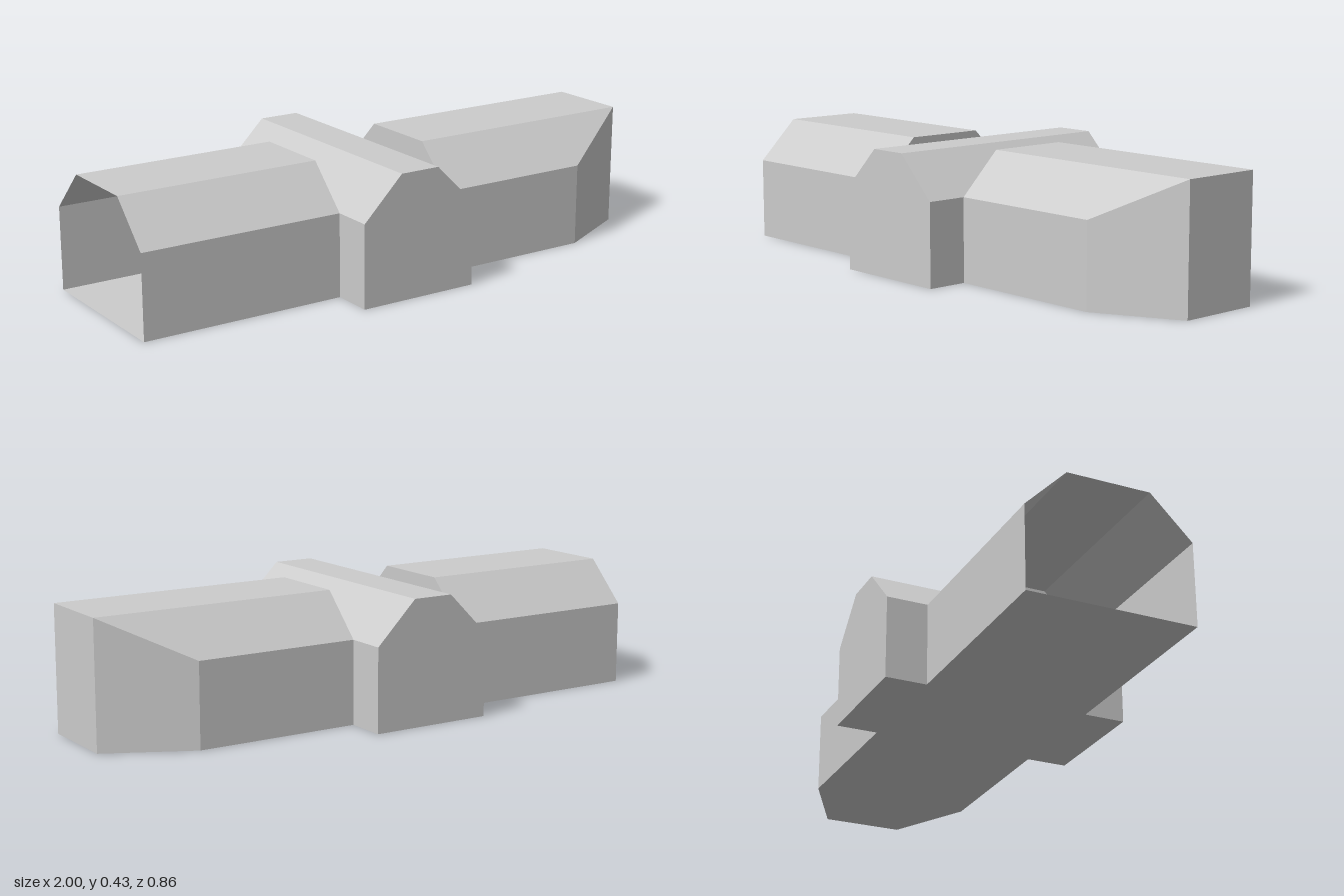
import * as THREE from 'three';

const U = 1 / 7; // design module: every corner sits on this grid
const material = new THREE.MeshStandardMaterial({
  color: 0xcccccc, flatShading: true, side: THREE.DoubleSide,
});

// Flat convex panels (corners in modules, counter-clockwise from outside) as one mesh.
function panels(name, polygons) {
  const pos = [];
  for (const p of polygons) {
    for (let i = 1; i < p.length - 1; i++) {
      for (const c of [p[0], p[i], p[i + 1]]) pos.push(...c.map((v) => v * U));
    }
  }
  const g = new THREE.BufferGeometry();
  g.setAttribute('position', new THREE.Float32BufferAttribute(pos, 3));
  g.computeVertexNormals();
  const mesh = new THREE.Mesh(g, material);
  mesh.name = name;
  return mesh;
}

// A panel on the +z side together with its mirror on the -z side.
const bothSides = (p) => [p, p.map(([x, y, z]) => [x, y, -z]).reverse()];

export function createModel() {
  const model = new THREE.Group();
  model.name = 'crossingHall';

  // Rear hall: walls, sloped eaves, flat roof; its far end is open
  model.add(panels('openHall', [
    ...bothSides([[-7, 0, 2], [-2, 0, 2], [-2, 2, 2], [-7, 2, 2]]),
    ...bothSides([[-7, 2, 2], [-2, 2, 2], [-2, 3, 1], [-7, 3, 1]]),
    [[-7, 3, 1], [-2, 3, 1], [-2, 3, -1], [-7, 3, -1]],
    [[-2, 2, 2], [-2, 2, -2], [-2, 3, -1], [-2, 3, 1]], // gable over the valley
  ]));

  // Front hall: same section, walls taper to a narrow closed end
  model.add(panels('taperedHall', [
    ...bothSides([[1, 0, 2], [5, 0, 2], [5, 2, 2], [1, 2, 2]]),
    ...bothSides([[5, 0, 2], [7, 0, 1], [7, 3, 1], [5, 2, 2]]),
    ...bothSides([[1, 2, 2], [5, 2, 2], [7, 3, 1], [1, 3, 1]]),
    [[1, 3, 1], [7, 3, 1], [7, 3, -1], [1, 3, -1]],
    [[7, 0, 1], [7, 0, -1], [7, 3, -1], [7, 3, 1]],
    [[1, 2, -2], [1, 2, 2], [1, 3, 1], [1, 3, -1]], // gable over the valley
  ]));

  // Transverse hall: gabled end walls, short returns, sloped eaves, flat ridge
  model.add(panels('crossHall', [
    ...bothSides([[-2, 0, 3], [1, 0, 3], [1, 2, 3], [0, 3, 3], [-1, 3, 3], [-2, 2, 3]]),
    ...bothSides([[1, 0, 3], [1, 0, 2], [1, 2, 2], [1, 2, 3]]),
    ...bothSides([[-2, 0, 2], [-2, 0, 3], [-2, 2, 3], [-2, 2, 2]]),
    [[1, 2, 3], [1, 2, -3], [0, 3, -3], [0, 3, 3]],
    [[-2, 2, -3], [-2, 2, 3], [-1, 3, 3], [-1, 3, -3]],
    [[-1, 3, 3], [0, 3, 3], [0, 3, -3], [-1, 3, -3]],
  ]));

  // Floor under all three halls
  model.add(panels('floor', [
    [[-7, 0, -2], [-2, 0, -2], [-2, 0, 2], [-7, 0, 2]],
    [[-2, 0, -3], [1, 0, -3], [1, 0, 3], [-2, 0, 3]],
    [[1, 0, -2], [5, 0, -2], [7, 0, -1], [7, 0, 1], [5, 0, 2], [1, 0, 2]],
  ]));

  return model;
}
